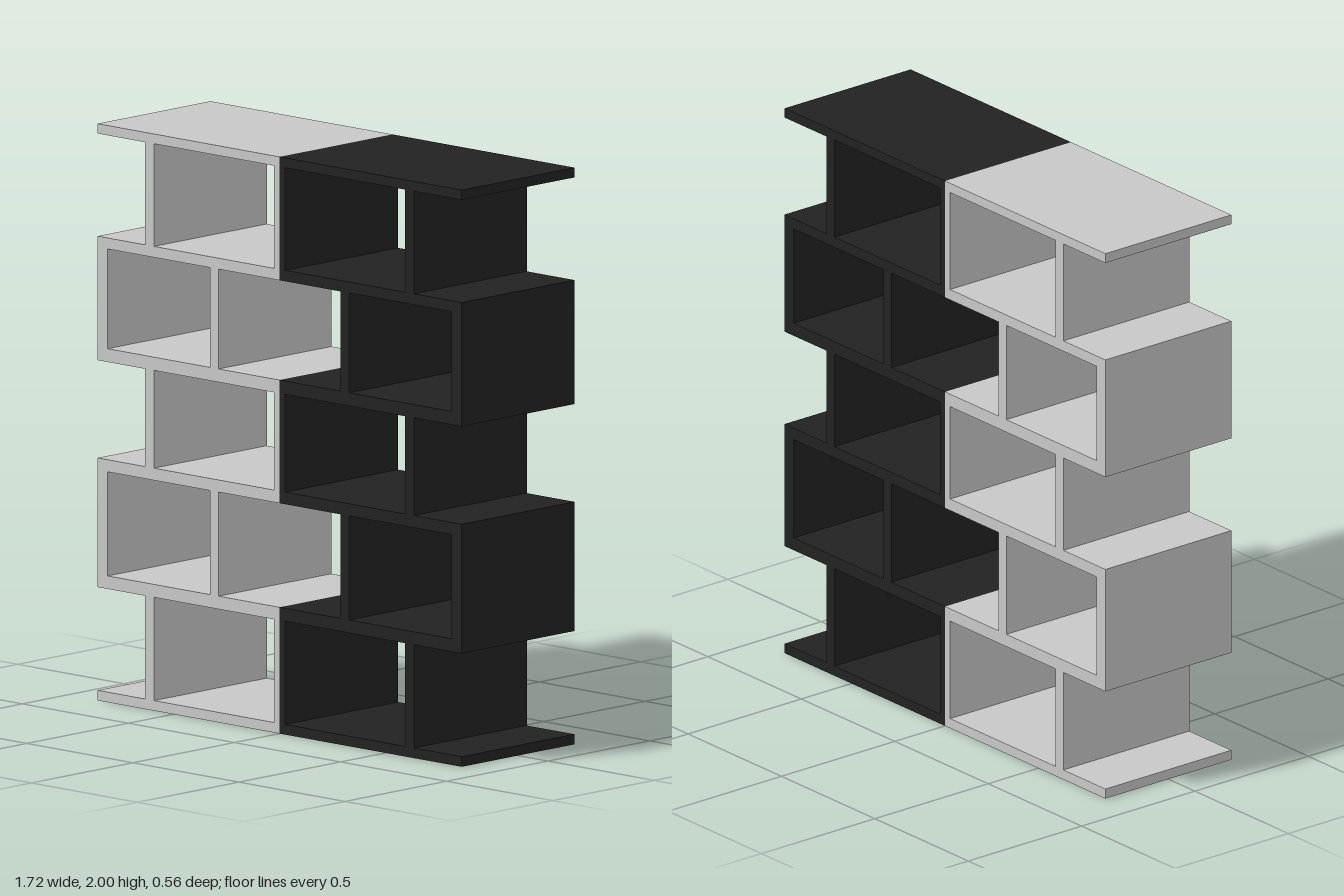
import * as THREE from 'three';

const DEPTH = 0.556;
const HALF_WIDTH = 0.858;

// Bottom and top height of each shelf board
const SHELVES = [[0, 0.035], [0.393, 0.438], [0.799, 0.841], [1.18, 1.226], [1.572, 1.61], [1.966, 2]];

// Inner and outer x of the uprights in each row; the rows alternate
const CENTRED_ROW = [['centreUpright', 0, 0.027], ['sideUpright', 0.592, 0.633]];
const OFFSET_ROW = [['middleUpright', 0.287, 0.328], ['endUpright', 0.81, HALF_WIDTH]];

function board(name, material, side, x0, x1, y0, y1) {
  const mesh = new THREE.Mesh(new THREE.BoxGeometry(x1 - x0, y1 - y0, DEPTH), material);
  mesh.name = name;
  mesh.position.set(side * (x0 + x1) / 2, (y0 + y1) / 2, 0);
  return mesh;
}

// One half of the bookcase; side is +1 or -1 along x
function createHalf(name, material, side) {
  const half = new THREE.Group();
  half.name = name;
  SHELVES.forEach(([y0, y1], i) => {
    half.add(board(`shelf${i + 1}`, material, side, 0, HALF_WIDTH, y0, y1));
    if (i === SHELVES.length - 1) return;
    // Uprights stand between this shelf and the next
    const row = i % 2 === 0 ? CENTRED_ROW : OFFSET_ROW;
    for (const [part, x0, x1] of row) {
      half.add(board(`${part}${i + 1}`, material, side, x0, x1, y1, SHELVES[i + 1][0]));
    }
  });
  return half;
}

export function createModel() {
  const lightGrey = new THREE.MeshStandardMaterial({ color: 0xc8c8c8 });
  lightGrey.name = 'light grey';
  const black = new THREE.MeshStandardMaterial({ color: 0x222222 });
  black.name = 'black';

  const bookcase = new THREE.Group();
  bookcase.name = 'bookcase';
  bookcase.add(createHalf('leftHalf', black, 1), createHalf('rightHalf', lightGrey, -1));
  return bookcase;
}
